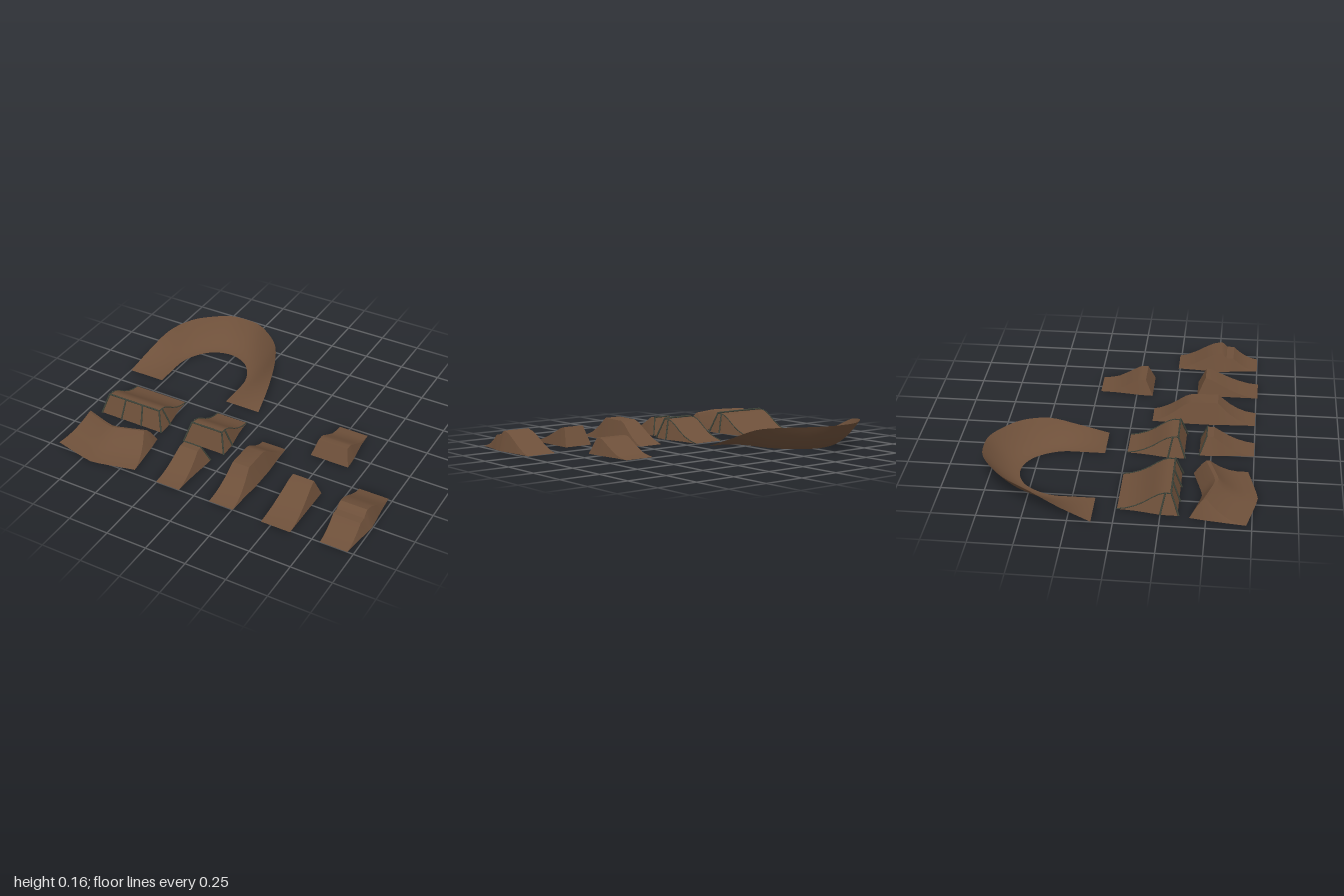
import * as THREE from 'three';
import { toCreasedNormals } from 'three/addons/utils/BufferGeometryUtils.js';

const dirt = new THREE.MeshStandardMaterial({ color: 0x6e503a, side: THREE.DoubleSide });
const pole = new THREE.MeshStandardMaterial({ color: 0x3c4238 });

// Open shell from a grid of points: rows of equal length
function shell(name, rows, crease = 0.5) {
  const cols = rows[0].length, pos = [], index = [];
  rows.forEach(r => r.forEach(p => pos.push(...p)));
  for (let i = 0; i < rows.length - 1; i++) {
    for (let j = 0; j < cols - 1; j++) {
      const a = i * cols + j, b = a + cols;
      index.push(a, b, a + 1, b, b + 1, a + 1);
    }
  }
  const geo = new THREE.BufferGeometry();
  geo.setAttribute('position', new THREE.Float32BufferAttribute(pos, 3));
  geo.setIndex(index);
  const mesh = new THREE.Mesh(toCreasedNormals(geo, crease), dirt);
  mesh.name = name;
  return mesh;
}

// Dirt ramp from sections [z, height, half top width, half base width];
// bend pushes the middle forward to make a chevron
function ramp(name, cx, sections, bend = 0) {
  const n = bend ? 10 : 2;
  const push = u => bend * (1 - Math.sqrt(u * u + 0.01));
  const rows = sections.map(([z, y, top, base]) => {
    const row = [[cx - base, 0, z]];
    for (let j = 0; j <= n; j++) {
      const u = (j / n) * 2 - 1;
      row.push([cx + u * top, y, z + push(u)]);
    }
    row.push([cx + base, 0, z]);
    return row;
  });
  return shell(name, rows);
}

// Thin round pole between two points
function bar(name, a, b, r = 0.005) {
  const p = new THREE.Vector3(...a), q = new THREE.Vector3(...b);
  const mesh = new THREE.Mesh(new THREE.CylinderGeometry(r, r, p.distanceTo(q), 8), pole);
  mesh.position.copy(p).add(q).multiplyScalar(0.5);
  mesh.quaternion.setFromUnitVectors(new THREE.Vector3(0, 1, 0), q.sub(p).normalize());
  mesh.name = name;
  return mesh;
}

// Landing with a steep front wall held by poles
function landing(name, cx, w, postCount) {
  const g = new THREE.Group();
  g.name = name;
  const profile = [[0.01, 0], [0.06, 0.01], [0.11, 0.028], [0.16, 0.056], [0.2, 0.085],
    [0.24, 0.11], [0.27, 0.12], [0.305, 0.12]];
  g.add(ramp('landingDirt', cx, [
    ...profile.map(([z, y]) => [z, y, w, w + y * 0.28]),
    [0.345, 0, w + 0.034, w + 0.034],
  ]));
  // Front posts and top beam
  for (let i = 0; i < postCount; i++) {
    const u = (i / (postCount - 1)) * 2 - 1;
    g.add(bar('frontPost', [cx + u * (w + 0.036), 0.003, 0.352], [cx + u * w, 0.127, 0.307]));
  }
  g.add(bar('topBeam', [cx - w, 0.126, 0.307], [cx + w, 0.126, 0.307]));
  for (const s of [-1, 1]) {
    // Side posts and edge rails
    g.add(bar('sidePost', [cx + s * (w + 0.04), 0.003, 0.25], [cx + s * w, 0.124, 0.275]));
    for (let i = 0; i < profile.length - 1; i++) {
      const [z0, y0] = profile[i], [z1, y1] = profile[i + 1];
      g.add(bar('edgeRail', [cx + s * w, y0 + 0.002, z0], [cx + s * w, y1 + 0.002, z1], 0.003));
    }
  }
  return g;
}

// Banked U-turn, low at both ends and highest at the back
function berm() {
  const cx = -0.533;
  const outer = [[0.467, 0, -0.12], [0.437, 0.065, -0.3], [0.39, 0.13, -0.47], [0.31, 0.152, -0.62],
    [0.2, 0.157, -0.72], [0.1, 0.16, -0.775], [0, 0.16, -0.787]];
  const inner = [[0.235, 0, -0.12], [0.235, 0, -0.24], [0.232, 0, -0.36], [0.2, 0, -0.45],
    [0.14, 0, -0.53], [0.07, 0, -0.57], [0, 0, -0.583]];
  const curve = half => new THREE.CatmullRomCurve3([
    ...half.map(([x, y, z]) => new THREE.Vector3(cx - x, y, z)),
    ...half.slice(0, -1).reverse().map(([x, y, z]) => new THREE.Vector3(cx + x, y, z)),
  ]);
  const o = curve(outer), n = curve(inner), rows = [];
  for (let i = 0; i <= 48; i++) {
    const a = n.getPoint(i / 48), b = o.getPoint(i / 48), row = [];
    for (let j = 0; j <= 10; j++) {
      const v = j / 10, p = a.clone().lerp(b, v);
      row.push([p.x, Math.max(0, b.y) * v ** 1.8, p.z]);
    }
    rows.push(row);
  }
  return shell('bermTurn', rows, 1);
}

export function createModel() {
  const g = new THREE.Group();
  g.name = 'dirtTrackRamps';
  g.add(berm());
  g.add(landing('wideLanding', -0.687, 0.178, 4));
  g.add(landing('narrowLanding', -0.176, 0.102, 2));

  // Wide chevron ramp
  g.add(ramp('hipRamp', -0.687, [
    [0.41, 0, 0.225, 0.225], [0.455, 0.075, 0.208, 0.233], [0.48, 0.105, 0.2, 0.238],
    [0.5, 0.11, 0.195, 0.24], [0.525, 0.085, 0.207, 0.244], [0.56, 0.055, 0.222, 0.248],
    [0.61, 0.025, 0.24, 0.255], [0.66, 0.008, 0.255, 0.261], [0.72, 0, 0.268, 0.268],
  ], 0.065));

  // Small kicker with poles on its back corners
  const kx = -0.176;
  g.add(ramp('smallKicker', kx, [
    [0.43, 0, 0.095, 0.095], [0.47, 0.11, 0.056, 0.093], [0.51, 0.108, 0.058, 0.09],
    [0.55, 0.08, 0.064, 0.086], [0.6, 0.048, 0.068, 0.082], [0.65, 0.024, 0.072, 0.079],
    [0.7, 0.008, 0.075, 0.077], [0.75, 0, 0.076, 0.076],
  ]));
  for (const s of [-1, 1]) {
    g.add(bar('kickerPost', [kx + s * 0.097, 0.003, 0.43], [kx + s * 0.057, 0.112, 0.47], 0.004));
  }
  g.add(bar('kickerBeam', [kx - 0.057, 0.111, 0.469], [kx + 0.057, 0.111, 0.469], 0.004));

  // Long table top
  g.add(ramp('tableTop', 0.177, [
    [0.125, 0, 0.077, 0.077], [0.17, 0.014, 0.074, 0.079], [0.22, 0.04, 0.069, 0.082],
    [0.27, 0.075, 0.063, 0.085], [0.32, 0.113, 0.056, 0.088], [0.36, 0.13, 0.053, 0.09],
    [0.52, 0.132, 0.053, 0.09], [0.55, 0.103, 0.057, 0.087], [0.59, 0.067, 0.063, 0.084],
    [0.64, 0.034, 0.069, 0.081], [0.69, 0.012, 0.074, 0.079], [0.75, 0, 0.077, 0.077],
  ]));

  // Take-off with a steep back, and the landing behind it
  g.add(ramp('takeOff', 0.53, [
    [0.38, 0, 0.091, 0.091], [0.43, 0.115, 0.066, 0.091], [0.47, 0.104, 0.07, 0.091],
    [0.52, 0.078, 0.075, 0.091], [0.58, 0.048, 0.081, 0.091], [0.64, 0.024, 0.086, 0.091],
    [0.7, 0.007, 0.09, 0.091], [0.76, 0, 0.091, 0.091],
  ]));
  g.add(ramp('backLanding', 0.53, [
    [-0.23, 0, 0.093, 0.093], [-0.18, 0.006, 0.093, 0.095], [-0.13, 0.018, 0.093, 0.098],
    [-0.06, 0.055, 0.093, 0.107], [0, 0.09, 0.093, 0.115], [0.02, 0.096, 0.093, 0.117],
    [0.055, 0.096, 0.093, 0.12], [0.1, 0, 0.121, 0.121],
  ]));

  // Step-up ramp
  g.add(ramp('stepUp', 0.882, [
    [0.24, 0, 0.092, 0.092], [0.29, 0.013, 0.09, 0.096], [0.35, 0.042, 0.088, 0.1],
    [0.41, 0.078, 0.086, 0.106], [0.46, 0.105, 0.083, 0.111], [0.51, 0.118, 0.081, 0.115],
    [0.525, 0.112, 0.082, 0.113], [0.55, 0.087, 0.083, 0.109], [0.595, 0.085, 0.083, 0.103],
    [0.63, 0.053, 0.083, 0.097], [0.67, 0.026, 0.083, 0.092], [0.71, 0.009, 0.083, 0.087],
    [0.75, 0, 0.083, 0.083],
  ]));
  return g;
}
